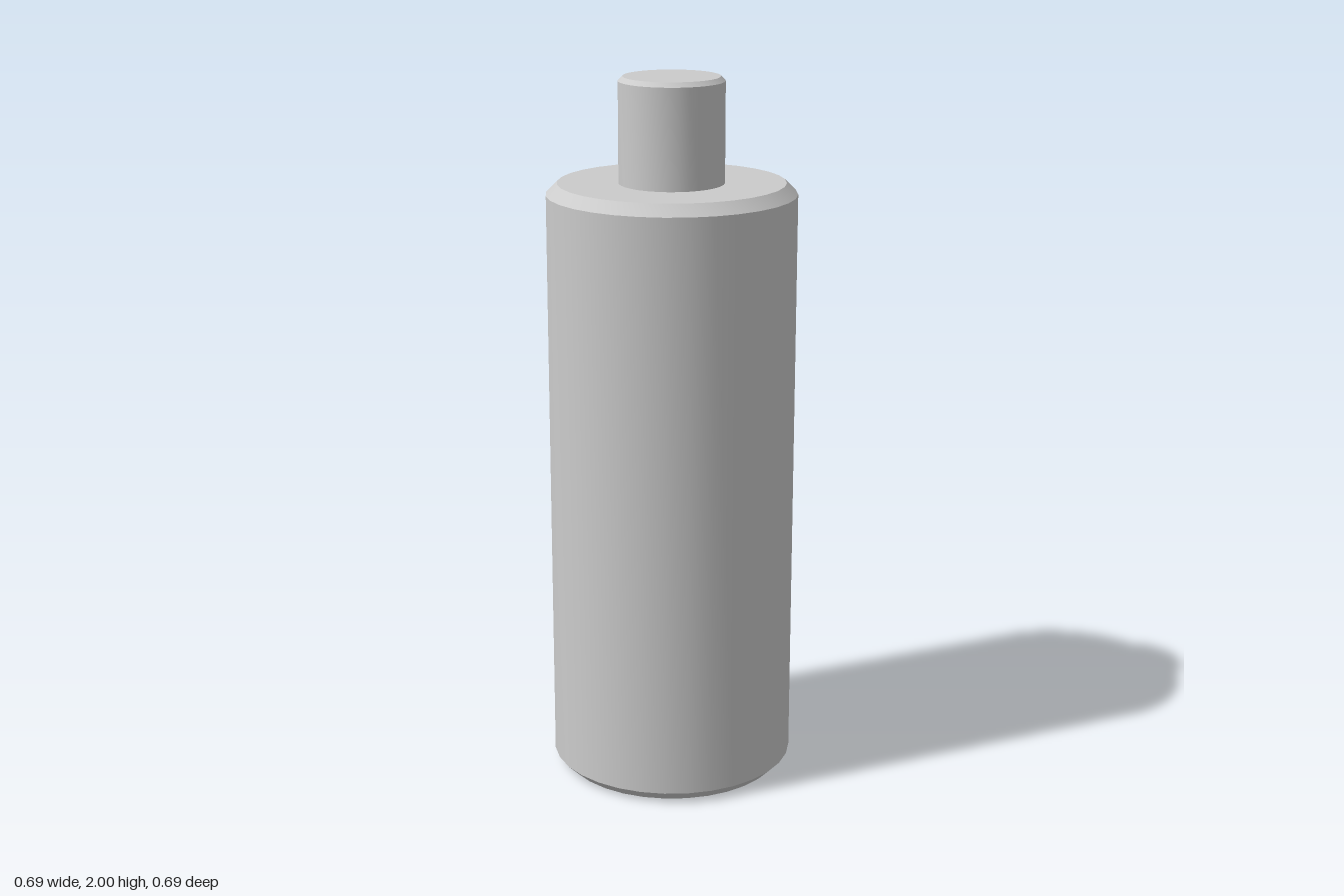
import * as THREE from 'three';
import { toCreasedNormals } from 'three/addons/utils/BufferGeometryUtils.js';

const material = new THREE.MeshStandardMaterial({ color: 0xcccccc });

// Turned solid from a [radius, height] profile, listed bottom to top;
// radii are measured to the flats, which face the four axes
function turned(name, profile, sides) {
  const k = 1 / Math.cos(Math.PI / sides);
  const points = profile.map(([r, y]) => new THREE.Vector2(r * k, y));
  const geometry = new THREE.LatheGeometry(points, sides, Math.PI / sides);
  const mesh = new THREE.Mesh(toCreasedNormals(geometry, Math.PI / 6), material);
  mesh.name = name;
  return mesh;
}

export function createModel() {
  const group = new THREE.Group();
  group.name = 'chamferedPin';

  // Main cylinder, chamfered at both ends
  const R = 0.345, H = 1.71, c = 0.031;
  group.add(turned('body', [[0, 0], [R - c, 0], [R, c], [R, H - c], [R - c, H], [0, H]], 32));

  // Narrow peg on top, slightly off centre, chamfered at its upper edge
  const r = 0.1455, top = 2, b = 0.0125;
  const peg = turned('topPeg', [[0, H - 0.02], [r, H - 0.02], [r, top - b], [r - b, top], [0, top]], 32);
  peg.position.set(-0.006, 0, 0.0075);
  group.add(peg);

  return group;
}
